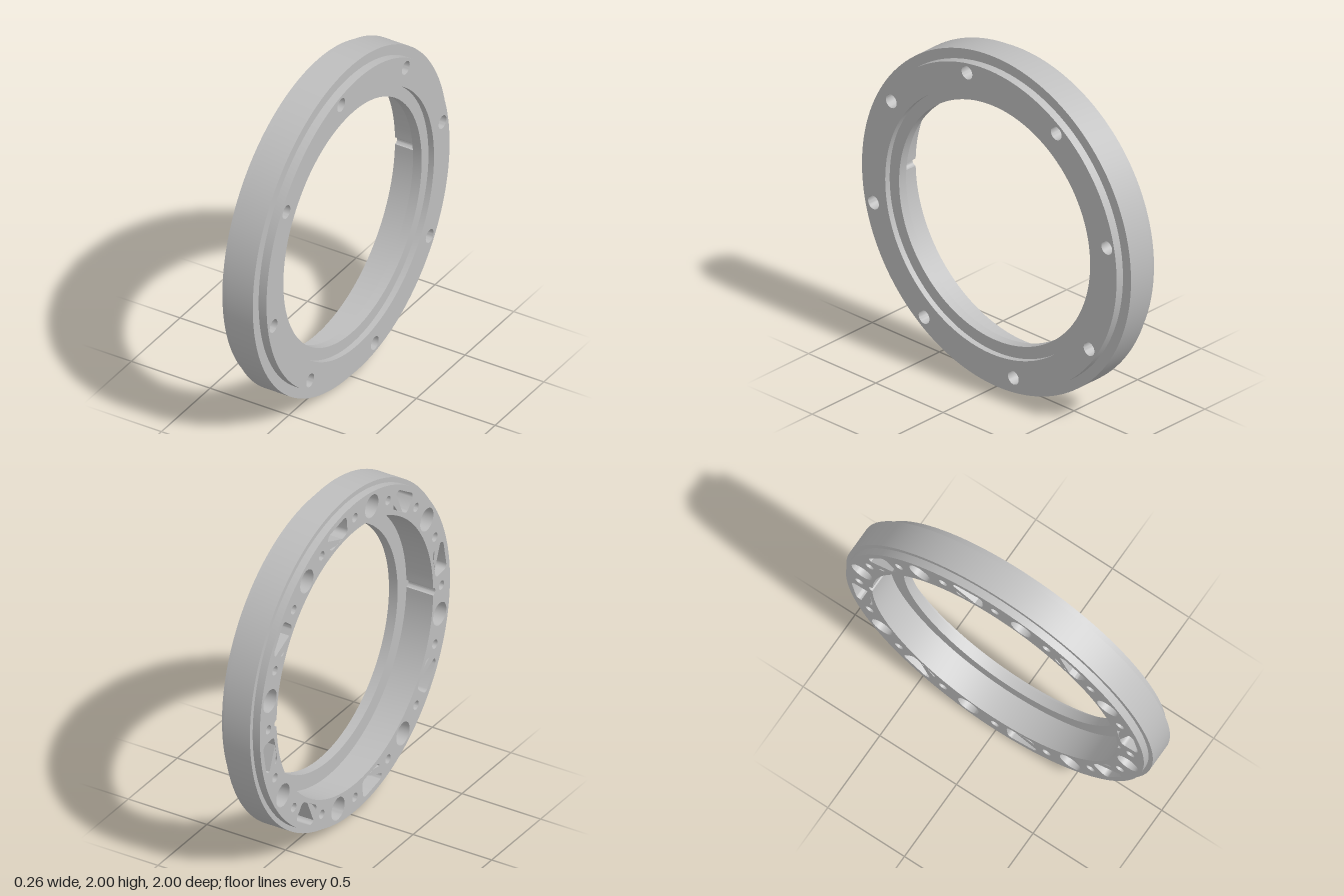
import * as THREE from 'three';
import { toCreasedNormals } from 'three/addons/utils/BufferGeometryUtils.js';

const rad = THREE.MathUtils.degToRad;
const metal = new THREE.MeshStandardMaterial({ color: 0xbebebe });
metal.name = 'plain grey metal';

// Axial stations along the ring's axis and main radii
const BACK = -0.13, RIM_BACK = -0.085, RIM_FRONT = 0.08, FRONT = 0.13;
const LIP_BACK = 0.04, LIP_FRONT = 0.095, POCKET_FLOOR = 0.06, SMALL_FLOOR = 0.02;
const BORE = 0.8, PITCH = 0.884;

// Counter-clockwise circle, optionally moved out to a polar position
function circle(r, n, angle = 0, dist = 0) {
  const pts = [];
  for (let i = 0; i < n; i++) {
    const t = (i / n) * Math.PI * 2;
    pts.push(new THREE.Vector2(dist * Math.cos(angle) + r * Math.cos(t), dist * Math.sin(angle) + r * Math.sin(t)));
  }
  return pts;
}

// Bore outline with two opposite half-round keyways
function boreOutline() {
  const pts = [], k = 0.022, gap = Math.asin(k / BORE);
  for (const side of [0, Math.PI]) {
    for (let i = 1; i < 10; i++) {
      const t = -Math.PI / 2 + (i / 10) * Math.PI;
      pts.push(new THREE.Vector2(BORE + k * Math.cos(t), k * Math.sin(t)).rotateAround(new THREE.Vector2(), side));
    }
    for (let i = 0; i <= 64; i++) {
      const t = side + gap + (i / 64) * (Math.PI - 2 * gap);
      pts.push(new THREE.Vector2(BORE * Math.cos(t), BORE * Math.sin(t)));
    }
  }
  return pts;
}

// Curved pocket with rounded corners, following the ring
function pocketOutline(angle) {
  const pts = [], half = 0.094, depth = 0.057, c = 0.028;
  const corners = [[1, 1, 0], [-1, 1, 90], [-1, -1, 180], [1, -1, 270]];
  for (const [sr, st, start] of corners) {
    for (let i = 0; i <= 6; i++) {
      const t = rad(start + i * 15);
      const r = PITCH + sr * (depth - c) + c * Math.cos(t);
      const a = angle + (st * (half - c) + c * Math.sin(t)) / PITCH;
      pts.push(new THREE.Vector2(r * Math.cos(a), r * Math.sin(a)));
    }
    // extra points keep the long sides concentric with the ring
    if (st === sr) for (let i = 1; i < 4; i++) {
      const r = PITCH + sr * depth;
      const a = angle + (sr * (half - c) * (1 - i / 2)) / PITCH;
      if (sr < 0) pts.push(new THREE.Vector2(r * Math.cos(a), r * Math.sin(a)));
    }
  }
  return pts;
}

export function createModel() {
  const model = new THREE.Group();
  model.name = 'flangeRing';
  const ring = new THREE.Group();
  ring.name = 'ringBody';
  ring.rotation.y = Math.PI / 2;
  ring.position.y = 1;
  model.add(ring);

  const add = (name, geo) => {
    const mesh = new THREE.Mesh(geo, metal);
    mesh.name = name;
    ring.add(mesh);
  };

  // Wall swept along the axis from a closed outline
  const wall = (name, pts, z0, z1, outward) => {
    const pos = [], idx = [], n = pts.length;
    for (const p of pts) pos.push(p.x, p.y, z0, p.x, p.y, z1);
    for (let i = 0; i < n; i++) {
      const a = 2 * i, b = 2 * ((i + 1) % n);
      if (outward) idx.push(a, b, b + 1, a, b + 1, a + 1);
      else idx.push(a, b + 1, b, a, a + 1, b + 1);
    }
    const geo = new THREE.BufferGeometry();
    geo.setAttribute('position', new THREE.Float32BufferAttribute(pos, 3));
    geo.setIndex(idx);
    add(name, toCreasedNormals(geo, 0.6));
  };

  // Flat face with openings, facing along the axis (dir = 1 or -1)
  const face = (name, outer, holes, z, dir) => {
    const shape = new THREE.Shape(outer);
    shape.holes = holes.map((h) => new THREE.Path(h));
    const geo = new THREE.ShapeGeometry(shape);
    if (dir < 0) {
      geo.index.array.reverse();
      geo.computeVertexNormals();
    }
    geo.translate(0, 0, z);
    add(name, geo);
  };

  const N = 144;
  const bore = boreOutline();
  const rim = circle(1, N), backRim = circle(0.972, N), frontRim = circle(0.94, N);
  const recess = circle(0.78, N), lip = circle(0.71, N);

  // Hole patterns
  const bolts = [], bores = [], pockets = [], smalls = [];
  for (let i = 0; i < 8; i++) {
    const a = rad(11.25 + 45 * i);
    bolts.push(circle(0.04, 28, a, PITCH));
    bores.push(circle(0.068, 36, a, PITCH));
    pockets.push(pocketOutline(a + rad(22.5)));
    for (const s of [-11.25, 11.25]) smalls.push(circle(0.027, 20, a + rad(s), PITCH));
  }

  // Stepped outside
  wall('backShoulder', backRim, BACK, RIM_BACK, true);
  face('backStep', rim, [backRim], RIM_BACK, -1);
  wall('outerRim', rim, RIM_BACK, RIM_FRONT, true);
  face('frontStep', rim, [frontRim], RIM_FRONT, 1);
  wall('frontShoulder', frontRim, RIM_FRONT, FRONT, true);

  // End faces
  face('frontFace', frontRim, [recess, ...bolts], FRONT, 1);
  face('backFace', backRim, [bore, ...bores, ...pockets, ...smalls], BACK, -1);

  // Stepped inside with a narrow lip
  wall('frontRecess', recess, LIP_FRONT, FRONT, false);
  face('lipFront', recess, [lip], LIP_FRONT, 1);
  wall('lipInside', lip, LIP_BACK, LIP_FRONT, false);
  face('lipBack', bore, [lip], LIP_BACK, -1);
  wall('keyedBore', bore, BACK, LIP_BACK, false);

  // Bolt holes with wide counterbores, pockets and small blind holes
  for (let i = 0; i < 8; i++) {
    wall('boltHole', bolts[i], POCKET_FLOOR, FRONT, false);
    wall('counterbore', bores[i], BACK, POCKET_FLOOR, false);
    face('counterboreFloor', bores[i], [bolts[i]], POCKET_FLOOR, -1);
    wall('pocketWall', pockets[i], BACK, POCKET_FLOOR, false);
    face('pocketFloor', pockets[i], [], POCKET_FLOOR, -1);
  }
  for (const s of smalls) {
    wall('smallHole', s, BACK, SMALL_FLOOR, false);
    face('smallHoleFloor', s, [], SMALL_FLOOR, -1);
  }
  return model;
}
